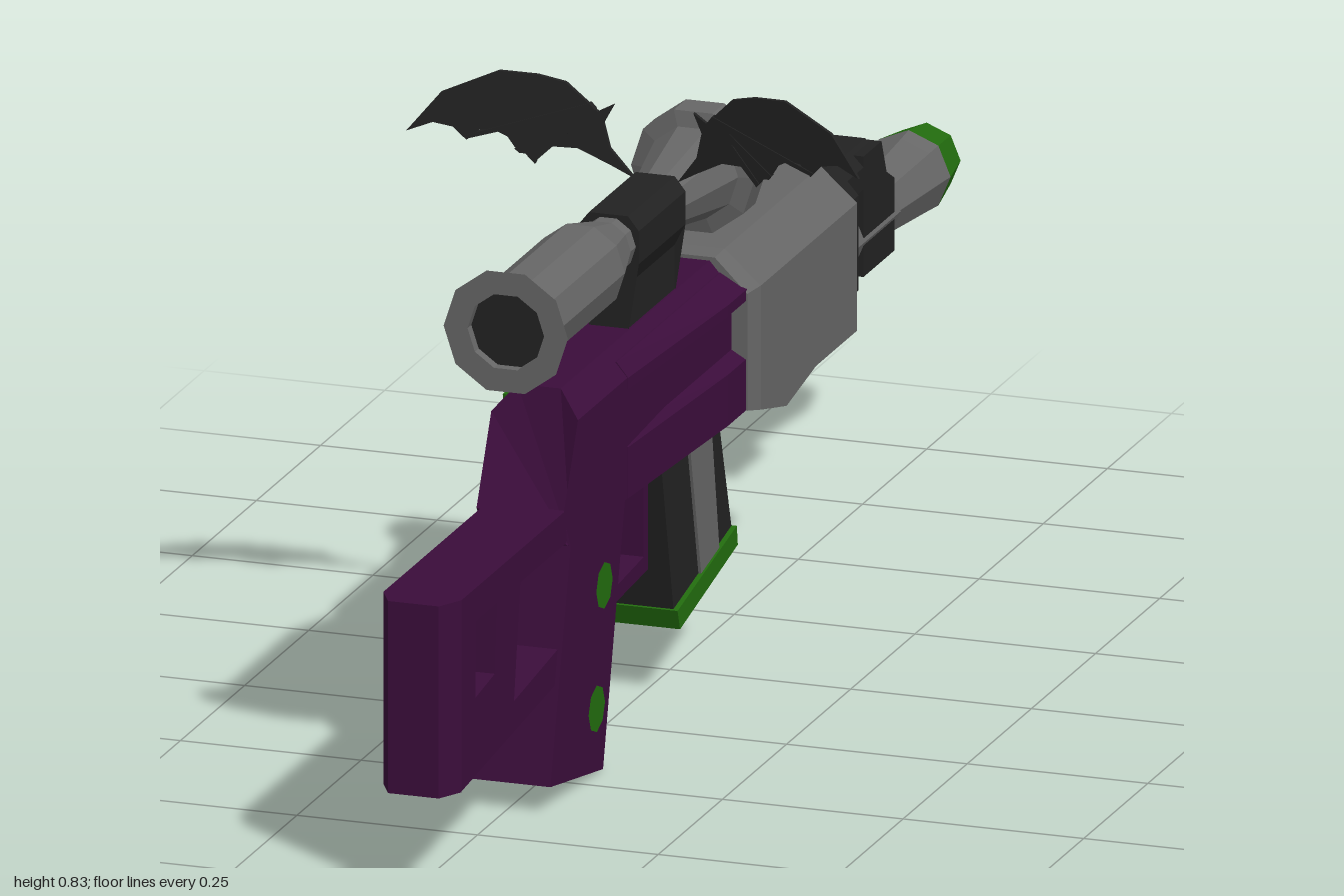
import * as THREE from 'three';

const mat = (name, color) => {
  const m = new THREE.MeshStandardMaterial({ color, flatShading: true });
  m.name = name;
  return m;
};

export function createModel() {
  const root = new THREE.Group();
  const purple = mat('purple', 0x3b0d3b);
  const gray = mat('gray', 0x666666);
  const black = mat('black', 0x222222);
  const green = mat('green', 0x226c0e);
  const orange = mat('orange', 0xc04a08);
  const wingBlack = mat('wing black', 0x222222);
  wingBlack.side = THREE.DoubleSide;

  const add = (name, geo, material) => {
    const mesh = new THREE.Mesh(geo, material);
    mesh.name = name;
    root.add(mesh);
    return mesh;
  };
  const shape = (pts, Kind = THREE.Shape) => new Kind(pts.map(p => new THREE.Vector2(...p)));

  // Side profile in [z, y], extruded across x about a centre
  const side = (pts, half, holes = [], cx = 0) => {
    const s = shape(pts);
    s.holes = holes.map(h => shape(h, THREE.Path));
    return new THREE.ExtrudeGeometry(s, { depth: half * 2, bevelEnabled: false })
      .translate(0, 0, -half).rotateY(-Math.PI / 2).translate(cx, 0, 0);
  };

  // Mirrors the right half of a section (bottom to top) into a full ring
  const sym = (half, z) => {
    const zOf = typeof z === 'function' ? z : () => z;
    return [...half, ...half.slice().reverse().map(([x, y]) => [-x, y])].map(([x, y]) => [x, y, zOf(y)]);
  };

  // Skins convex rings, ordered from the rear (+z) to the front (-z)
  const loft = (rings) => {
    const out = [], n = rings[0].length, last = rings[rings.length - 1];
    for (let k = 0; k < rings.length - 1; k++) {
      const a = rings[k], b = rings[k + 1];
      for (let i = 0; i < n; i++) {
        const j = (i + 1) % n;
        out.push(...a[i], ...b[i], ...a[j], ...a[j], ...b[i], ...b[j]);
      }
    }
    for (let i = 1; i < n - 1; i++) {
      out.push(...rings[0][0], ...rings[0][i], ...rings[0][i + 1]);
      out.push(...last[0], ...last[i + 1], ...last[i]);
    }
    const g = new THREE.BufferGeometry();
    g.setAttribute('position', new THREE.Float32BufferAttribute(out, 3));
    g.computeVertexNormals();
    return g;
  };

  // Turned part along z; profile is [radius, z] with z rising along the outside
  const turned = (pts, sides, y) => new THREE.LatheGeometry(
    pts.map(p => new THREE.Vector2(...p)), sides, Math.PI / 2).rotateX(Math.PI / 2).translate(0, y, 0);

  // Receiver with chamfered top and sloping back
  const body = [[0.06, 0.35], [0.06, 0.4], [0.06, 0.515], [0.03, 0.55]];
  add('receiver', loft([
    sym(body, y => (y < 0.39 ? 0.555 : 0.585 - (y - 0.4) * 0.5)),
    sym(body, -0.08),
  ]), purple);

  // Side rails that widen towards the front, with a recess between them
  const rails = [[[0.35, 0], [0.35, 1], [0.42, 1], [0.44, 0]], [[0.49, 0], [0.5, 1], [0.515, 1], [0.535, 0]]];
  for (const rail of rails) {
    const ring = (w, z) => sym(rail.map(([y, t]) => [t ? w : 0.045, y]), z);
    add('sideRails', loft([ring(0.061, 0.335), ring(0.08, 0.0), ring(0.08, -0.08)]), purple);
  }

  // Stock with two openings, and its chamfered butt
  add('stock', side([[0.965, 0.138], [0.965, 0.4], [0.56, 0.4], [0.53, 0.18]], 0.054, [
    [[0.91, 0.25], [0.91, 0.355], [0.825, 0.355], [0.835, 0.26]],
    [[0.76, 0.2], [0.735, 0.355], [0.555, 0.355], [0.585, 0.22]],
  ]), purple);
  const butt = w => [[w, 0.137], [w, 0.4]];
  add('stockButt', loft([sym(butt(0.035), 1), sym(butt(0.054), 0.965)]), purple);

  // Grip and trigger guard
  add('grip', side([[0.635, 0.045], [0.43, 0.008], [0.34, 0.37], [0.551, 0.37]], 0.06), purple);
  add('triggerGuard', side([[0.5, 0.18], [0.17, 0.2], [0.17, 0.36], [0.187, 0.36], [0.187, 0.222], [0.48, 0.2]], 0.03), purple);
  add('trigger', side([[0.33, 0.295], [0.24, 0.288], [0.28, 0.355], [0.31, 0.355]], 0.02), green);

  // Green studs beside the grip
  for (const x of [-0.079, 0.074]) {
    for (const [z, y] of [[0.475, 0.275], [0.505, 0.115]]) {
      add('gripStud', new THREE.ConeGeometry(0.032, 0.008, 8).rotateZ(Math.PI / 2).translate(x, y, z), green);
    }
  }

  // Handguard
  const guard = (w, bottom, z, top = 0.56) => sym([[w, bottom], [w, top - 0.045], [w * 0.45, top]], z);
  add('handguard', loft([
    guard(0.082, 0.35, -0.07, 0.555), guard(0.092, 0.345, -0.095), guard(0.092, 0.32, -0.195),
    guard(0.092, 0.34, -0.31), guard(0.092, 0.34, -0.47), guard(0.086, 0.345, -0.482, 0.553),
  ]), gray);
  const collar = [[0.05, 0.35], [0.078, 0.38], [0.078, 0.51], [0.045, 0.548]];
  add('collar', loft([sym(collar, -0.48), sym(collar, -0.515)]), black);

  // Barrel, gas tube, sight block and muzzle
  add('barrel', turned([[0, -0.77], [0.046, -0.77], [0.046, -0.5]], 8, 0.408), gray);
  const tube = [[0.025, 0.465], [0.044, 0.48], [0.044, 0.51], [0.025, 0.53]];
  add('gasTube', loft([sym(tube, -0.5), sym(tube, -0.69)]), black);
  add('sightBlock', side([[-0.63, 0.36], [-0.75, 0.36], [-0.75, 0.46], [-0.72, 0.477],
    [-0.7, 0.525], [-0.63, 0.525]], 0.044), black);
  add('flashHider', turned([[0.058, -0.93], [0.055, -0.9], [0.042, -0.75]], 8, 0.408), gray);
  add('muzzleTip', turned([[0.03, -0.95], [0.03, -1], [0.047, -1], [0.058, -0.93]], 8, 0.408), green);
  add('bore', turned([[0, -0.96], [0.031, -0.96], [0.031, -0.93]], 8, 0.408), black);

  // Magazine with a pale rib and a green base plate
  add('magazine', side([[0.17, 0.37], [0.115, 0.125], [-0.11, 0.175], [-0.05, 0.37]], 0.046), black);
  add('magazineRib', side([[0.068, 0.36], [0.018, 0.146], [-0.052, 0.162], [-0.018, 0.36]], 0.05), gray);
  add('magazineBase', side([[0.12, 0.13], [0.11, 0.102], [-0.115, 0.15], [-0.111, 0.177]], 0.053), green);

  // Scope, lenses and mount
  const scopeY = 0.663;
  add('scope', turned([[0.053, -0.115], [0.053, -0.137], [0.086, -0.137], [0.086, -0.09], [0.064, -0.085],
    [0.038, 0.06], [0.038, 0.26], [0.062, 0.35], [0.062, 0.605], [0.086, 0.64], [0.053, 0.64],
    [0.053, 0.62]], 10, scopeY), gray);
  add('scopeLenses', turned([[0, -0.12], [0.054, -0.12], [0.037, 0.06], [0.037, 0.26], [0.054, 0.4],
    [0.054, 0.625], [0, 0.625]], 10, scopeY), black);
  const mount = [[0.027, 0.54], [0.027, 0.61], [0.042, 0.64], [0.042, 0.685], [0.027, 0.704]];
  add('scopeMount', loft([sym(mount, 0.24), sym(mount, 0.058)]), black);

  // Bat wings, swept back towards the tips
  const wing = [[0.03, 0.695], [0.06, 0.735], [0.068, 0.77], [0.055, 0.795], [0.075, 0.785], [0.115, 0.825],
    [0.15, 0.835], [0.198, 0.84], [0.27, 0.81], [0.313, 0.757], [0.28, 0.769], [0.255, 0.763], [0.238, 0.745],
    [0.222, 0.759], [0.205, 0.76], [0.187, 0.75], [0.173, 0.728], [0.165, 0.727], [0.153, 0.713],
    [0.147, 0.73], [0.13, 0.737], [0.1, 0.735], [0.06, 0.713]];
  const ribs = [[0.238, 0.747], [0.173, 0.73], [0.153, 0.716]];
  const sweep = geo => {
    const p = geo.attributes.position;
    for (let i = 0; i < p.count; i++) p.setZ(i, p.getZ(i) + 0.06 + 0.32 * (p.getX(i) - 0.05));
    geo.computeVertexNormals();
    return geo;
  };
  for (const s of [1, -1]) {
    const g = new THREE.ExtrudeGeometry(shape(wing), { depth: 0.006, bevelEnabled: false });
    add(s > 0 ? 'leftWing' : 'rightWing', sweep(g.translate(0, 0, -0.003)), wingBlack).scale.x = s;
    for (const [x, y] of ribs) {
      const r = new THREE.ExtrudeGeometry(shape([[x, y], [x + 0.005, y + 0.004], [0.085, 0.797], [0.078, 0.788]]),
        { depth: 0.01, bevelEnabled: false });
      add('wingRib', sweep(r.translate(0, 0, -0.005)), wingBlack).scale.x = s;
    }
  }

  // Pumpkin face plate on the right side
  const pz = 0.455, py = 0.452;
  const plate = (name, pts, x, m) =>
    add(name, side(pts.map(([z, y]) => [pz + z, py + y]), 0.002, [], x), m);
  const oval = (a, b) => Array.from({ length: 16 }, (_, i) => {
    const t = i / 16 * Math.PI * 2, k = i % 4 === 2 ? 1.04 : 1;
    return [a * k * Math.cos(t), b * k * Math.sin(t)];
  });
  plate('pumpkinOutline', oval(0.07, 0.054), -0.061, black);
  plate('pumpkin', oval(0.065, 0.05), -0.063, orange);
  plate('pumpkinStem', [[-0.01, 0.045], [0.01, 0.045], [0.014, 0.068], [0, 0.068]], -0.063, green);
  for (const s of [1, -1]) {
    plate('pumpkinEye', [[s * 0.015, 0.006], [s * 0.04, 0.01], [s * 0.032, 0.027]], -0.065, black);
  }
  plate('pumpkinMouth', [[-0.042, -0.008], [-0.025, -0.017], [-0.012, -0.013], [0, -0.019], [0.012, -0.013],
    [0.025, -0.017], [0.042, -0.008], [0.025, -0.031], [0, -0.028], [-0.025, -0.031]], -0.065, black);

  return root;
}
